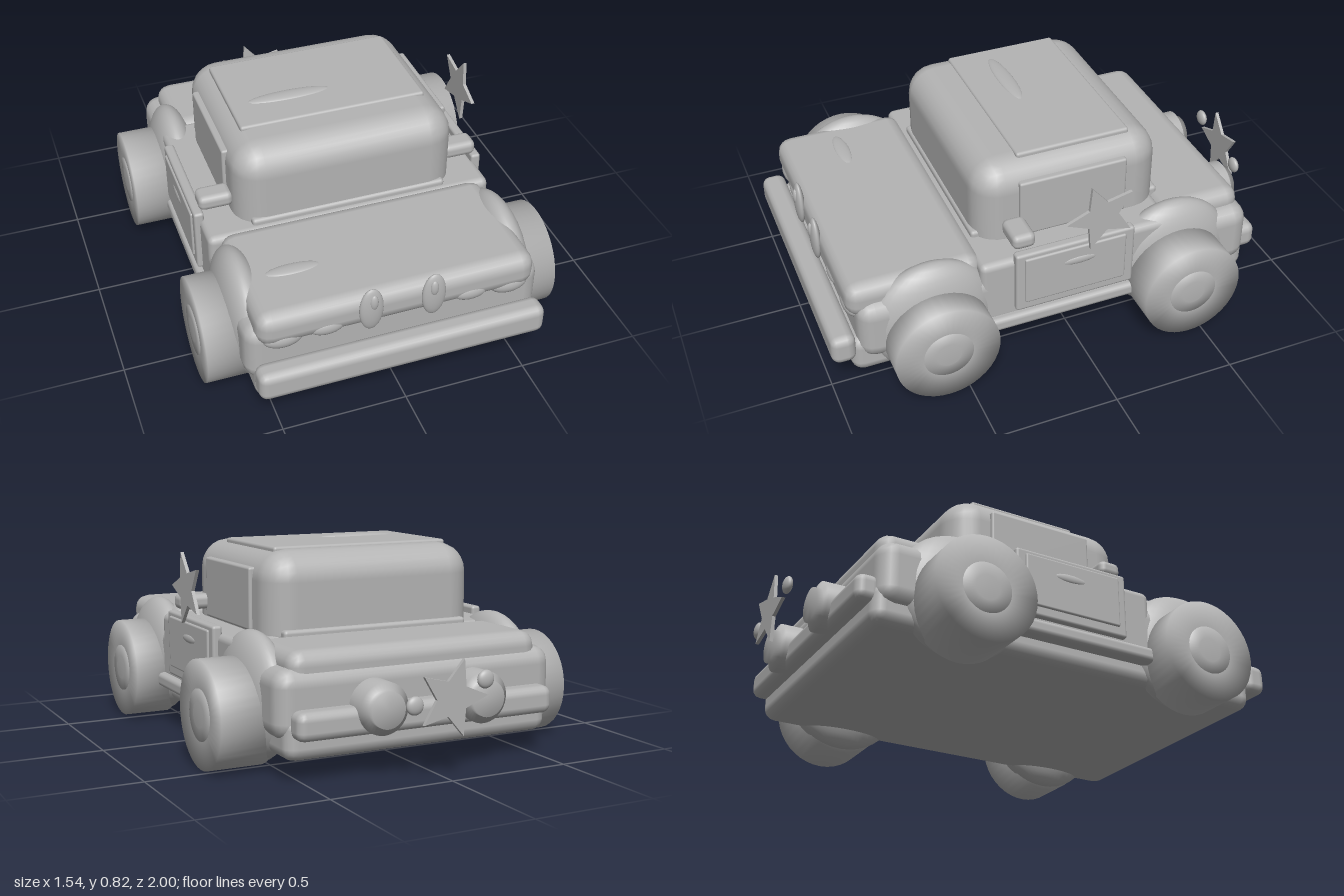
import * as THREE from 'three';
import { RoundedBoxGeometry } from 'three/addons/geometries/RoundedBoxGeometry.js';

const grey = new THREE.MeshStandardMaterial({ color: 0xb4b4b4 });
grey.name = 'plain grey';

export function createModel() {
  const model = new THREE.Group();
  model.name = 'car';

  const add = (name, geometry, x = 0, y = 0, z = 0) => {
    const mesh = new THREE.Mesh(geometry, grey);
    mesh.name = name;
    mesh.position.set(x, y, z);
    model.add(mesh);
    return mesh;
  };

  // Rounded block given by its limits on each axis
  const block = (name, [x0, x1], [y0, y1], [z0, z1], radius, segments = 2) =>
    add(name, new RoundedBoxGeometry(x1 - x0, y1 - y0, z1 - z0, segments, radius),
      (x0 + x1) / 2, (y0 + y1) / 2, (z0 + z1) / 2);

  // Ellipsoid given by its centre and half sizes
  const ellipsoid = (name, x, y, z, rx, ry, rz) =>
    add(name, new THREE.SphereGeometry(1, 32, 20).scale(rx, ry, rz), x, y, z);

  // Round part turned about y; profile runs from the low end to the high end
  const turned = (points) =>
    new THREE.LatheGeometry(points.map(([r, h]) => new THREE.Vector2(r, h)), 40);

  // Body
  block('chassis', [-0.57, 0.57], [0.08, 0.25], [-0.8, 0.92], 0.05);
  block('lowerBody', [-0.6, 0.6], [0.15, 0.42], [-0.79, 0.89], 0.07);
  block('sideBody', [-0.6, 0.6], [0.2, 0.475], [-0.42, 0.4], 0.03);
  block('hood', [-0.56, 0.56], [0.34, 0.49], [0.37, 0.92], 0.06);
  block('trunkLid', [-0.54, 0.54], [0.33, 0.48], [-0.77, -0.4], 0.06);
  block('frontBumper', [-0.58, 0.58], [0.16, 0.285], [0.9, 1], 0.035);
  block('rearBumper', [-0.55, 0.55], [0.165, 0.275], [-0.86, -0.76], 0.035);
  block('runningBoards', [-0.63, 0.63], [0.155, 0.215], [-0.3, 0.42], 0.02);

  // Cab
  block('cab', [-0.465, 0.465], [0.36, 0.8], [-0.43, 0.36], 0.12, 3);
  block('cabBase', [-0.41, 0.41], [0.42, 0.5], [-0.445, 0.37], 0.015);
  block('roofPanel', [-0.39, 0.39], [0.77, 0.81], [-0.31, 0.17], 0.012);

  // Parts on both sides
  for (const s of [1, -1]) {
    const span = (a, b) => (s > 0 ? [a, b] : [-b, -a]);
    block('sideWindow', span(0.44, 0.478), [0.48, 0.73], [-0.265, 0.19], 0.01);
    block('door', span(0.58, 0.622), [0.23, 0.505], [-0.24, 0.265], 0.012);
    block('doorPanel', span(0.605, 0.63), [0.27, 0.485], [-0.2, 0.23], 0.008);
    ellipsoid('doorHandle', s * 0.626, 0.42, 0, 0.009, 0.018, 0.075);
    block('mirror', span(0.455, 0.597), [0.51, 0.575], [0.17, 0.265], 0.025);

    // Wheels with fenders and hubs
    for (const [place, z, outer] of [['front', 0.585, 0.725], ['rear', -0.445, 0.76]]) {
      ellipsoid(place + 'Fender', s * 0.54, 0.265, z, 0.1, 0.252, 0.262);
      const wheel = add(place + 'Wheel', turned([
        [0, 0.54], [0.211, 0.54], [0.211, outer], [0.1, outer], [0, outer],
      ]), 0, 0.211, z);
      const hub = add(place + 'Hub', turned([
        [0.1, outer - 0.03], [0.1, outer + 0.004], [0.05, outer + 0.004],
        [0.05, outer + 0.008], [0, outer + 0.008],
      ]), 0, 0.211, z);
      wheel.rotation.z = hub.rotation.z = -s * Math.PI / 2;
    }

    // Front lights and upright horns
    ellipsoid('headlight', s * 0.457, 0.362, 0.885, 0.078, 0.042, 0.035);
    ellipsoid('innerLight', s * 0.29, 0.377, 0.9, 0.068, 0.034, 0.025);
    ellipsoid('grilleOval', s * 0.125, 0.435, 0.925, 0.048, 0.096, 0.02);
    ellipsoid('grilleOvalCentre', s * 0.12, 0.475, 0.938, 0.017, 0.034, 0.012);

    // Exhaust pipes
    const exhaust = add('exhaust', turned([
      [0.1, 0.7], [0.1, 0.875], [0.07, 0.88], [0.07, 0.907], [0, 0.907],
    ]), s * 0.215, 0.265, 0);
    exhaust.rotation.x = -Math.PI / 2;

    // Beads beside the rear star
    ellipsoid('rearBead', s * 0.15, s > 0 ? 0.29 : 0.36, -0.978, 0.035, 0.035, 0.018);
  }

  // Flat ovals on the hood and roof
  ellipsoid('hoodOval', -0.35, 0.488, 0.675, 0.108, 0.01, 0.031);
  ellipsoid('roofOval', -0.14, 0.808, 0.005, 0.172, 0.012, 0.035);

  // Stars, flat in the xy plane with one point along -x
  const outline = new THREE.Shape(Array.from({ length: 10 }, (_, i) => {
    const r = i % 2 ? 0.068 : 0.15;
    const a = Math.PI + i * Math.PI / 5;
    return new THREE.Vector2(r * Math.cos(a), r * Math.sin(a));
  }));
  const star = new THREE.ExtrudeGeometry(outline, { depth: 0.014, bevelEnabled: false });
  star.translate(0, 0, -0.007);
  add('sideStar', star, 0.661, 0.635, -0.07).rotation.y = Math.PI / 2;
  add('rearStar', star, 0, 0.305, -0.99);

  return model;
}
